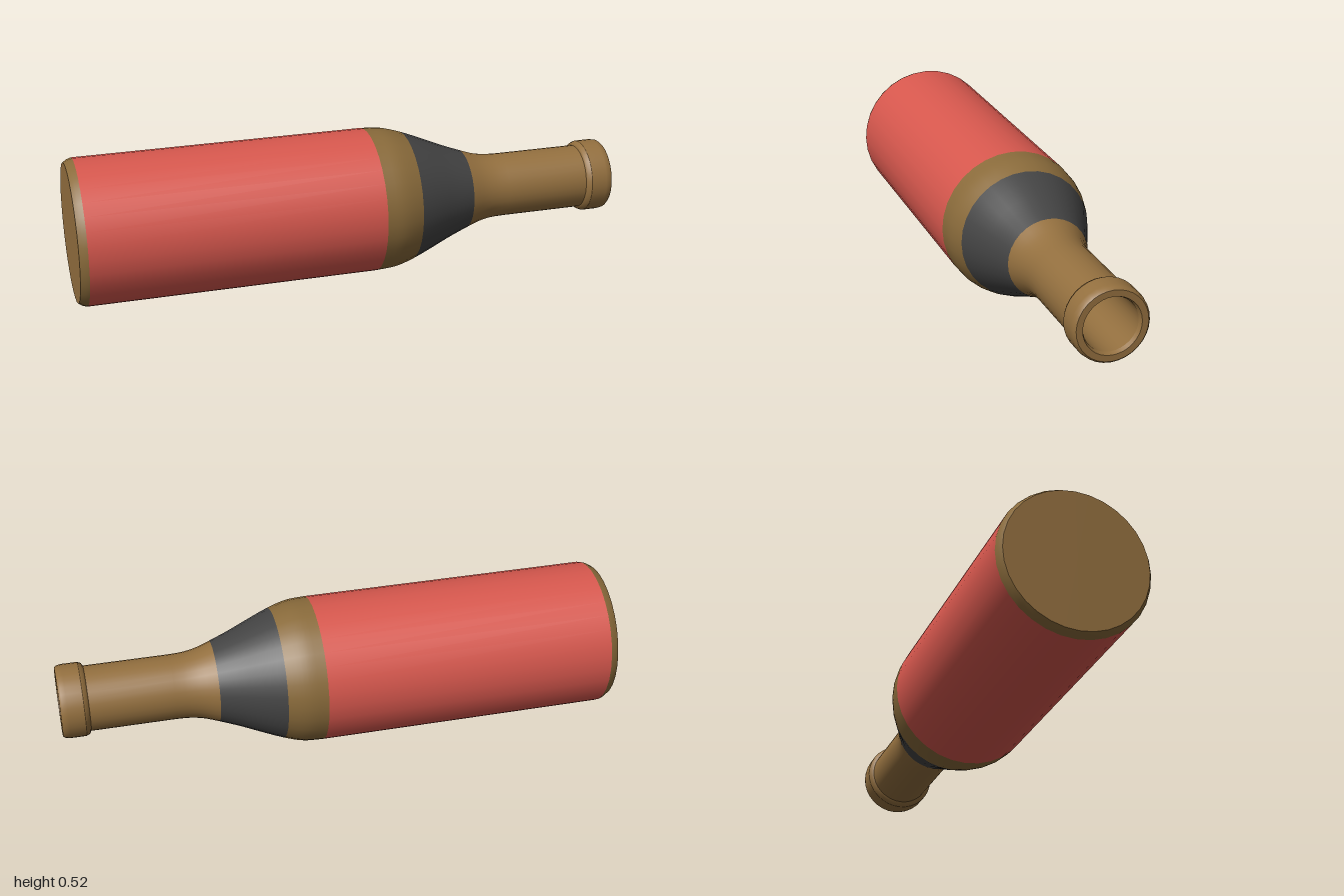
import * as THREE from 'three';

const SIDES = 32;
const RADIUS = 0.262;

const paint = (name, color) => {
  const m = new THREE.MeshStandardMaterial({ color });
  m.name = name;
  return m;
};

export function createModel() {
  const glass = paint('brown glass', 0x94703f);
  const filledGlass = paint('olive brown glass', 0x8a6b3b);
  const red = paint('red label', 0xd8584e);
  const dark = paint('charcoal label', 0x444444);
  const amber = paint('amber liquid', 0xbb9846);

  const bottle = new THREE.Group();
  bottle.name = 'bottle';

  // Turned part: points are [position along the axis, radius]
  const turn = (name, material, points) => {
    const profile = points.map(([x, r]) => new THREE.Vector2(r, x));
    const mesh = new THREE.Mesh(new THREE.LatheGeometry(profile, SIDES), material);
    mesh.name = name;
    bottle.add(mesh);
  };

  // S-shaped shoulder, sampled between two positions along the axis
  const shoulder = new THREE.CatmullRomCurve3(
    [[0.08, RADIUS], [0.15, 0.257], [0.22, 0.2365], [0.30, 0.204], [0.37, 0.174],
      [0.445, 0.1455], [0.50, 0.127], [0.55, 0.1185], [0.60, 0.1165]]
      .map(([x, r]) => new THREE.Vector3(x, r, 0)));
  const slice = (from, to) => {
    const points = [];
    for (let i = 0; i <= 8; i++) {
      const p = shoulder.getPoint((from + (to - from) * i / 8) / 8);
      points.push([p.x, p.y]);
    }
    return points;
  };

  // Base and body
  turn('base', glass, [[-1, 0], [-1, 0.2475]]);
  turn('baseEdge', filledGlass, [[-1, 0.2475], [-0.985, 0.257], [-0.97, RADIUS]]);
  turn('bodyLabel', red, [[-0.97, RADIUS], [0.08, RADIUS]]);

  // Shoulder and neck
  turn('shoulder', filledGlass, slice(0, 2));
  turn('shoulderLabel', dark, slice(2, 5));
  turn('neck', glass, [...slice(5, 8), [0.90, 0.1165]]);

  // Lip and rim
  turn('lipStep', glass, [[0.90, 0.1165], [0.905, 0.126], [0.918, 0.132]]);
  turn('lip', glass, [[0.918, 0.132], [0.975, 0.132], [0.992, 0.129], [1, 0.122]]);
  turn('rim', glass, [[1, 0.122], [1, 0.1]]);
  turn('rimInnerEdge', glass, [[1, 0.1], [0.985, 0.094]]);

  // Hollow inside and the liquid in it
  turn('innerWall', glass, [[0.985, 0.094], [0.55, 0.094], [0.445, 0.12], [0.22, 0.21]]);
  turn('liquid', amber, [[0.22, 0.21], [0.22, 0]]);

  // Lay the bottle on its side with the mouth towards +x
  bottle.rotation.z = -Math.PI / 2;
  bottle.position.y = RADIUS;

  const model = new THREE.Group();
  model.name = 'lyingBottle';
  model.add(bottle);
  return model;
}
